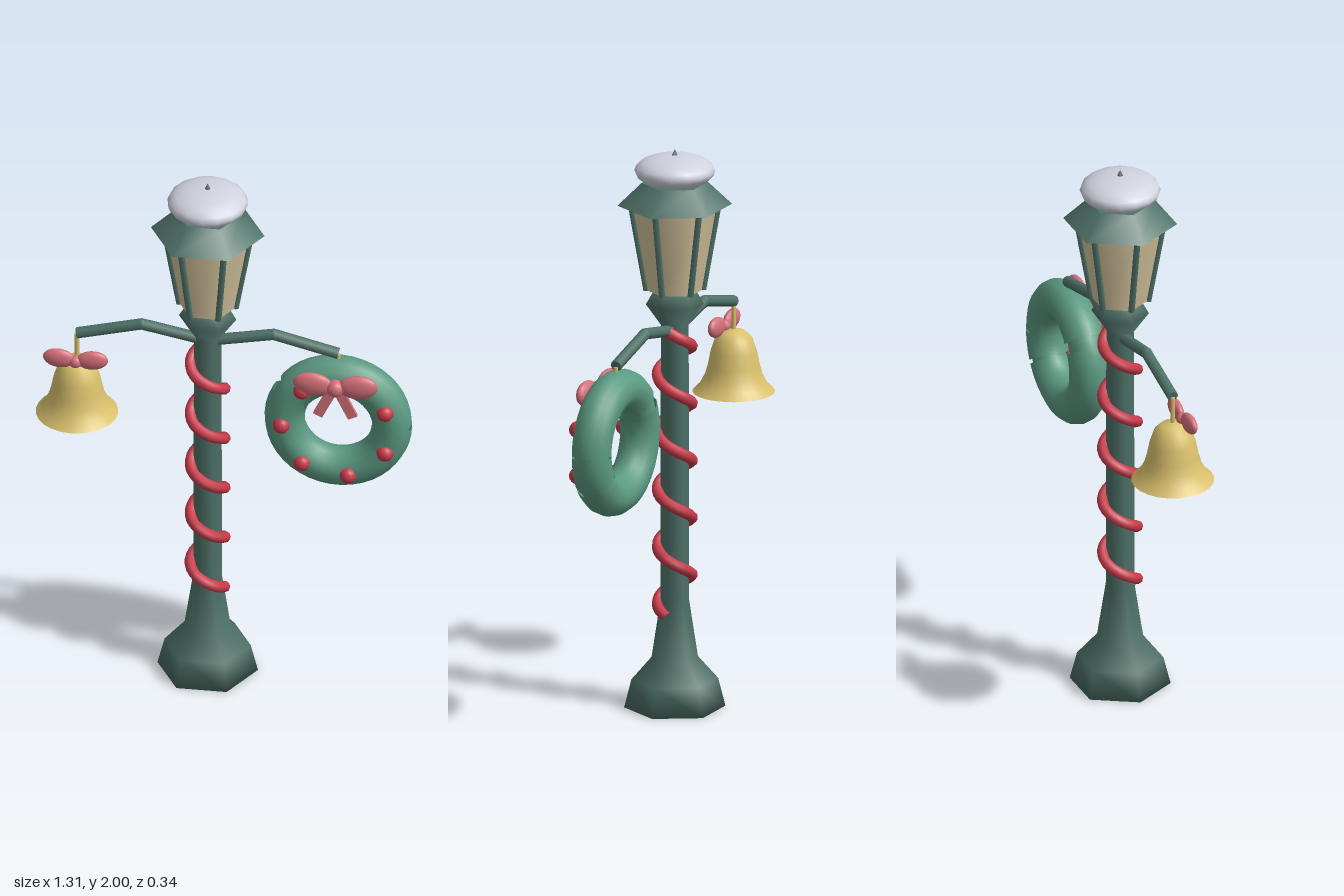
import * as THREE from 'three';

const mat = (name, color, side = THREE.FrontSide) =>
  Object.assign(new THREE.MeshStandardMaterial({ color, side }), { name });
const V = (x, y, z = 0) => new THREE.Vector3(x, y, z);

export function createModel() {
  const iron = mat('iron green', 0x4f7268);
  const leaf = mat('wreath green', 0x5c9a82, THREE.DoubleSide);
  const gold = mat('bell gold', 0xd9c06c, THREE.DoubleSide);
  const snow = mat('snow', 0xd0d2de);
  const glass = mat('lamp glass', 0xd6c59e);
  const red = mat('ribbon red', 0xc83a4a);
  const pink = mat('bow pink', 0xd5707a);

  const root = new THREE.Group();
  const add = (name, geo, material, pos = [0, 0, 0], parent = root) => {
    const m = new THREE.Mesh(geo, material);
    m.name = name;
    m.position.set(...pos);
    parent.add(m);
    return m;
  };
  const lathe = (pts, seg, start = 0) =>
    new THREE.LatheGeometry(pts.map(p => new THREE.Vector2(...p)), seg, start);
  const ellipsoid = (rx, ry, rz) => new THREE.SphereGeometry(1, 16, 10).scale(rx, ry, rz);
  // round bar between two points
  const bar = (name, a, b, r, material, sides = 8, parent = root) => {
    const d = b.clone().sub(a);
    const m = add(name, new THREE.CylinderGeometry(r, r, d.length(), sides), material,
      a.clone().add(b).multiplyScalar(0.5).toArray(), parent);
    m.quaternion.setFromUnitVectors(V(0, 1), d.normalize());
    return m;
  };

  // six-sided post with flared foot and collar
  add('post', lathe([[0, 0], [0.175, 0], [0.15, 0.1], [0.08, 0.18], [0.05, 0.38],
    [0.048, 1.37], [0.1, 1.445], [0.068, 1.5], [0, 1.5]], 6, Math.PI / 2), iron);

  // lantern
  const lantern = new THREE.Group();
  lantern.name = 'lantern';
  root.add(lantern);
  add('lanternGlass', new THREE.CylinderGeometry(0.15, 0.098, 0.31, 6, 1, false, Math.PI / 2),
    glass, [0, 1.65, 0], lantern);
  for (let i = 0; i < 6; i++) {
    const a = i * Math.PI / 3, c = Math.cos(a), s = Math.sin(a);
    bar('lanternBar', V(0.098 * c, 1.495, 0.098 * s), V(0.152 * c, 1.805, 0.152 * s),
      0.012, iron, 6, lantern);
  }
  add('roof', new THREE.CylinderGeometry(0.115, 0.198, 0.08, 6, 1, false, Math.PI / 2),
    iron, [0, 1.84, 0], lantern);
  add('snowCap', ellipsoid(0.14, 0.056, 0.14), snow, [0, 1.923, 0], lantern);
  add('finial', new THREE.ConeGeometry(0.018, 0.04, 8), iron, [0, 1.98, 0], lantern);

  // ribbon wound around the post
  const turns = 5, path = [];
  for (let i = 0; i <= turns * 12; i++) {
    const a = i * Math.PI / 6;
    path.push(V(0.06 * Math.cos(a), 0.335 + 1.025 * i / (turns * 12), 0.06 * Math.sin(a)));
  }
  add('ribbon', new THREE.TubeGeometry(new THREE.CatmullRomCurve3(path), 120, 0.02, 8), red);

  // bent arms
  for (const s of [-1, 1]) {
    const bend = V(s * 0.23, 1.396), tip = V(s * 0.455, 1.338);
    bar('armInner', V(0, 1.35), bend, 0.02, iron);
    bar('armOuter', bend, tip, 0.02, iron);
    add('armJoint', new THREE.SphereGeometry(0.02, 8, 6), iron, bend.toArray());
  }

  // bow made of two loops and a knot
  const bow = (name, pos, spread, rx, ry, rz, knot) => {
    const g = new THREE.Group();
    g.name = name;
    g.position.set(...pos);
    root.add(g);
    for (const s of [-1, 1]) {
      const loop = add('bowLoop', ellipsoid(rx, ry, rz), pink, [s * spread, 0.01, 0], g);
      loop.rotation.z = s * 0.1;
    }
    add('bowKnot', new THREE.SphereGeometry(knot, 12, 8), pink, [0, 0, 0], g);
    return g;
  };

  // bell
  const bx = -0.455;
  bar('bellHanger', V(bx, 1.335), V(bx, 1.22), 0.008, gold);
  add('bell', lathe([[0.143, 1.015], [0.118, 1.04], [0.1, 1.075], [0.09, 1.11], [0.08, 1.16],
    [0.065, 1.205], [0.04, 1.23], [0, 1.24]], 24), gold, [bx, 0, 0]);
  add('clapper', new THREE.SphereGeometry(0.033, 12, 8), gold, [bx, 1.008, 0]);
  bow('bellBow', [bx, 1.243, 0.037], 0.058, 0.056, 0.036, 0.02, 0.023);

  // wreath: three leafy arcs over a slimmer core that shows at the notches
  const wx = 0.455, wy = 1.064, R = 0.187;
  const wreath = new THREE.Group();
  wreath.name = 'wreath';
  wreath.position.set(wx, wy, 0);
  root.add(wreath);
  bar('wreathHanger', V(wx, 1.335), V(wx, 1.29), 0.008, gold);
  add('wreathCore', new THREE.TorusGeometry(R, 0.06, 12, 40), leaf, [0, 0, 0], wreath);
  for (const [from, to] of [[1, 141], [152, 325], [329, 359]]) {
    const arc = THREE.MathUtils.degToRad(to - from);
    const m = add('wreathArc', new THREE.TorusGeometry(R, 0.07, 14, Math.ceil((to - from) / 9), arc),
      leaf, [0, 0, 0], wreath);
    m.rotation.z = THREE.MathUtils.degToRad(from);
  }
  for (let i = 0; i < 7; i++) {
    const a = Math.PI + i * Math.PI * 2 / 7;
    add('berry', new THREE.SphereGeometry(0.03, 12, 8), red,
      [0.19 * Math.cos(a), 0.19 * Math.sin(a), 0.062], wreath);
  }
  const wreathBow = bow('wreathBow', [wx, 1.242, 0.073], 0.078, 0.07, 0.045, 0.024, 0.032);
  for (const s of [-1, 1]) {
    const tail = add('bowTail', new THREE.BoxGeometry(0.035, 0.12, 0.014), pink,
      [s * 0.035, -0.06, 0], wreathBow);
    tail.rotation.z = s * 0.45;
  }
  return root;
}
